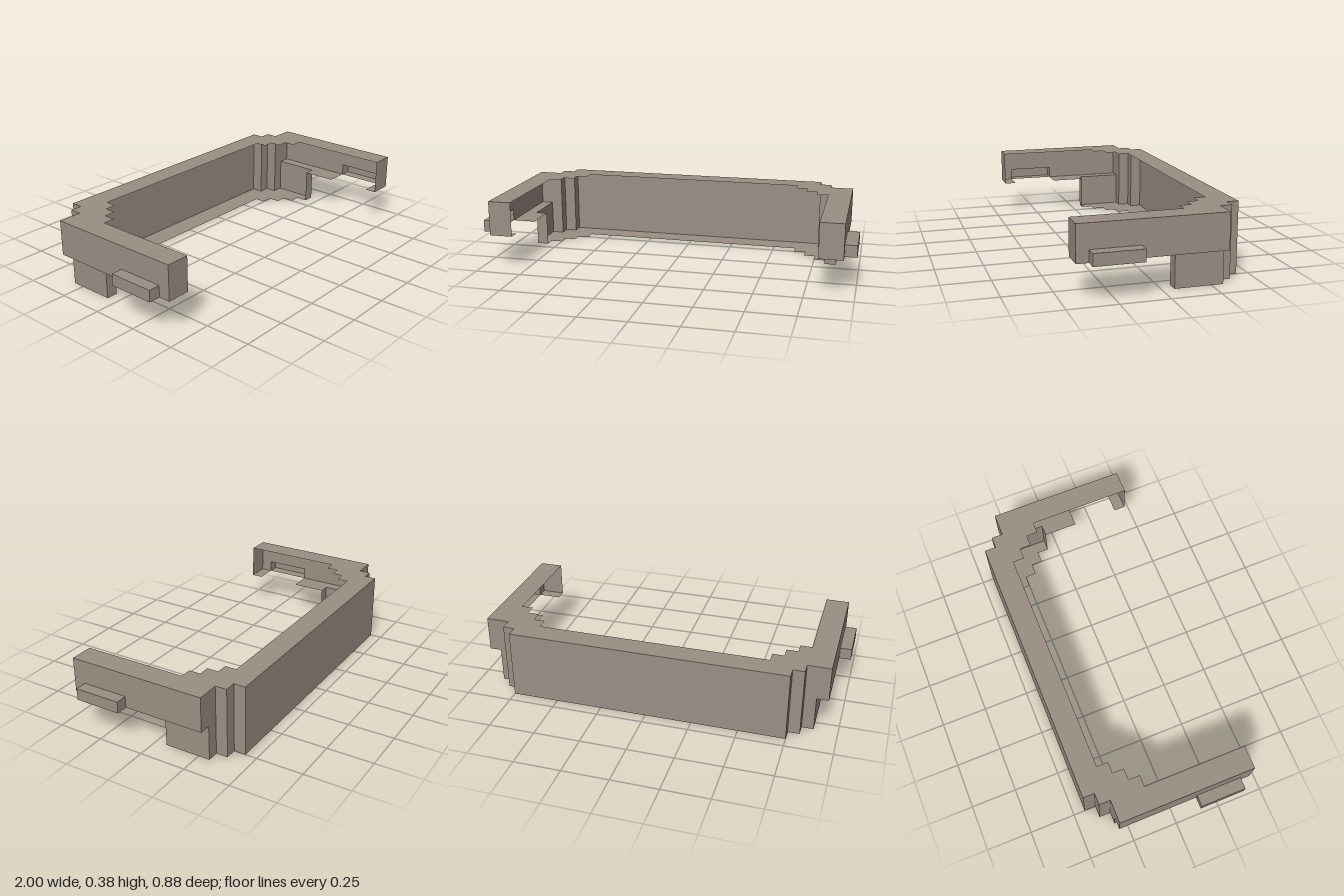
import * as THREE from 'three';

const U = 1 / 16; // grid step

export function createModel() {
  const model = new THREE.Group();
  model.name = 'bracketShell';
  const taupe = new THREE.MeshStandardMaterial({ color: 0x9b8f84, side: THREE.DoubleSide });
  taupe.name = 'taupe';

  const add = (parent, name, geometry) => {
    const mesh = new THREE.Mesh(geometry, taupe);
    mesh.name = name;
    parent.add(mesh);
    return mesh;
  };

  // Flat horizontal plate from an [x, z] outline at height y
  const slab = (parent, name, outline, y) => {
    const shape = new THREE.Shape(outline.map(([x, z]) => new THREE.Vector2(x * U, -z * U)));
    add(parent, name, new THREE.ShapeGeometry(shape).rotateX(-Math.PI / 2).translate(0, y * U, 0));
  };

  // Upright thin walls along an [x, z] path between two heights
  const walls = (parent, name, path, y0, y1) => {
    for (let i = 0; i + 1 < path.length; i++) {
      const [ax, az] = path[i], [bx, bz] = path[i + 1];
      const g = new THREE.PlaneGeometry(Math.hypot(bx - ax, bz - az) * U, (y1 - y0) * U);
      g.rotateY(-Math.atan2(bz - az, bx - ax));
      g.translate((ax + bx) / 2 * U, (y0 + y1) / 2 * U, (az + bz) / 2 * U);
      add(parent, name, g);
    }
  };

  const mirrored = (half) => [...half, ...half.map(([x, z]) => [-x, z]).reverse()];

  // Stepped inner edge of the plates, from the middle towards the arm
  const innerSteps = [[10, -5], [10, -4], [11, -4], [11, -3], [12, -3], [12, -2], [13, -2]];
  const backSteps = [[13, -5], [13, -6], [12, -6], [12, -7]];

  // Top and bottom plates, open towards the inside
  slab(model, 'topPlate', mirrored([...innerSteps, [13, 7], [15, 7], [15, -5], ...backSteps]), 6);
  slab(model, 'bottomPlate', mirrored([...innerSteps, [13, -1], [14, -1], [14, -5], ...backSteps]), 0);

  // Back panel
  walls(model, 'backPanel', [[-12, -7], [12, -7]], 0, 6);

  for (const side of [1, -1]) {
    const half = new THREE.Group();
    half.name = side > 0 ? 'leftSide' : 'rightSide';
    model.add(half);
    const m = (pts) => pts.map(([x, z]) => [x * side, z]);
    const rect = (x0, x1, z0, z1) => m([[x0, z0], [x1, z0], [x1, z1], [x0, z1]]);

    // Stepped rear corner
    walls(half, 'cornerStep', m(backSteps), 0, 6);

    // Arm: rear, outer and end walls, with an opening behind the side knob
    walls(half, 'armWall', m([[13, -5], [15, -5], [15, 2]]), 3, 6);
    walls(half, 'armWall', m([[15, 2], [15, 6]]), 4, 6);
    walls(half, 'armWall', m([[15, 6], [15, 7], [13, 7]]), 3, 6);
    slab(half, 'armFloorRear', m([[14, -5], [15, -5], [15, 2], [13, 2], [13, -1], [14, -1]]), 3);
    slab(half, 'armFloorEnd', rect(13, 15, 6, 7), 3);

    // Lower block below the arm
    walls(half, 'lowerBlock', m([[13, -5], [14, -5], [14, -1], [13, -1]]), 0, 3);

    // Hollow side knob
    walls(half, 'sideKnob', m([[15, 2], [16, 2], [16, 6], [15, 6]]), 3, 4);
    slab(half, 'sideKnobTop', rect(15, 16, 2, 6), 4);
    slab(half, 'sideKnobFloor', rect(15, 16, 2, 6), 3);
  }
  return model;
}
